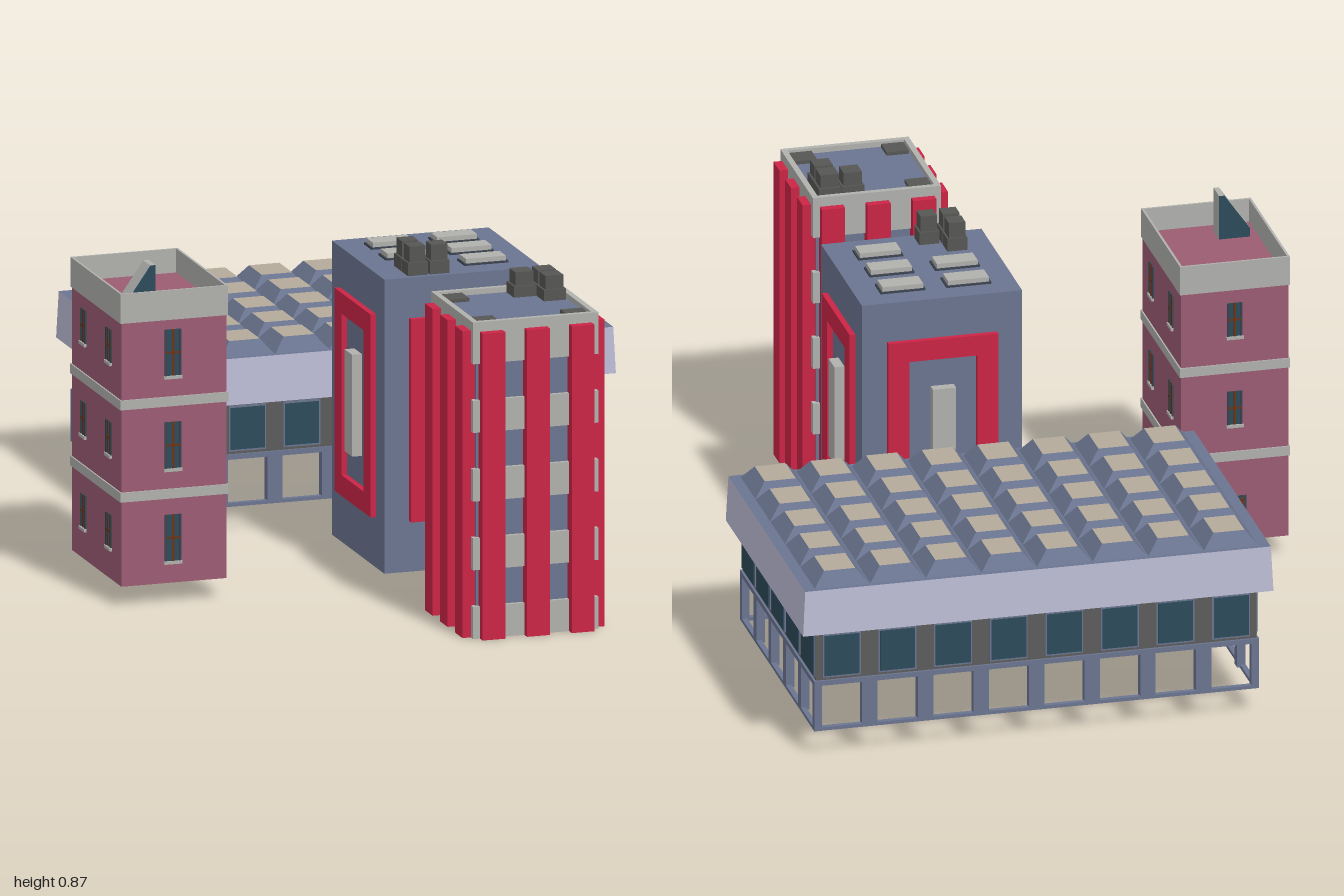
import * as THREE from 'three';

const paint = (color) => new THREE.MeshStandardMaterial({ color });
const M = {
  blue: paint(0x6b7590), red: paint(0xcb2545), grey: paint(0xb0b0ad), dark: paint(0x565654),
  brick: paint(0x9c5c73), glass: paint(0x2c4b5a), fascia: paint(0xbdbdd6), tan: paint(0xb3aa9b),
  wall: paint(0x5c5c5c), wood: paint(0x6b3418), frame: paint(0x3c4450),
};

// box given by its min and max on each axis
function box(parent, name, mat, x0, x1, y0, y1, z0, z1) {
  const m = new THREE.Mesh(new THREE.BoxGeometry(x1 - x0, y1 - y0, z1 - z0), mat);
  m.position.set((x0 + x1) / 2, (y0 + y1) / 2, (z0 + z1) / 2);
  m.name = name;
  parent.add(m);
  return m;
}

function group(parent, name, x = 0, y = 0, z = 0, turn = 0) {
  const g = new THREE.Group();
  g.name = name;
  g.position.set(x, y, z);
  g.rotation.y = turn;
  parent.add(g);
  return g;
}

// vent made of a base and a narrower cap
function vent(parent, x, y, z, w, h) {
  box(parent, 'ventBase', M.dark, x - w, x + w, y, y + h * 0.45, z - w, z + w);
  box(parent, 'ventCap', M.dark, x - w * 0.82, x + w * 0.82, y + h * 0.45, y + h, z - w * 0.82, z + w * 0.82);
}

// window on a wall facing local +z, sill at the bottom
function wallWindow(parent, x, y0, y1, w) {
  const g = group(parent, 'window', x, 0, 0);
  box(g, 'pane', M.glass, -w, w, y0, y1, -0.004, 0.002);
  for (const s of [-1, 1]) box(g, 'jamb', M.frame, s * w - 0.003, s * w + 0.003, y0, y1, -0.004, 0.004);
  box(g, 'mullion', M.wood, -0.003, 0.003, y0, y1, -0.004, 0.004);
  const ym = (y0 + y1) / 2;
  box(g, 'crossbar', M.wood, -w, w, ym - 0.003, ym + 0.003, -0.004, 0.004);
  box(g, 'sill', M.grey, -w - 0.005, w + 0.005, y0 - 0.008, y0, -0.004, 0.007);
}

function door(parent, x) {
  box(parent, 'doorFrame', M.frame, x - 0.03, x + 0.03, 0.053, 0.175, -0.004, 0.003);
  box(parent, 'door', M.wood, x - 0.023, x + 0.023, 0.053, 0.167, -0.004, 0.006);
}

function brickHouse(root) {
  const g = group(root, 'brickHouse', -0.6145, 0, 0.1975);
  const hx = 0.139, hz = 0.1955;
  box(g, 'body', M.brick, -hx, hx, 0.053, 0.75, -hz, hz);
  for (const y of [0.272, 0.511])
    box(g, 'band', M.grey, -hx - 0.004, hx + 0.004, y, y + 0.025, -hz - 0.004, hz + 0.004);
  // thin open parapet
  for (const s of [-1, 1]) {
    box(g, 'parapet', M.grey, -hx - 0.003, hx + 0.003, 0.735, 0.812, s * hz - 0.003, s * hz + 0.003);
    box(g, 'parapet', M.grey, s * hx - 0.003, s * hx + 0.003, 0.735, 0.812, -hz - 0.003, hz + 0.003);
  }
  const front = group(g, 'frontWall', 0, 0, hz);
  const back = group(g, 'backWall', 0, 0, -hz, Math.PI);
  const left = group(g, 'leftWall', hx, 0, 0, Math.PI / 2);
  const right = group(g, 'rightWall', -hx, 0, 0, -Math.PI / 2);
  for (let f = 0; f < 3; f++) {
    const y = 0.11 + f * 0.24;
    wallWindow(front, -0.003, y, y + 0.12, 0.019);
    if (f > 0) wallWindow(back, 0, y + 0.02, y + 0.11, 0.017);
    for (const x of [-0.1, 0.1]) {
      if (f > 0 || x > 0) wallWindow(left, x, y + 0.025, y + 0.11, 0.017);
      wallWindow(right, x, y + 0.025, y + 0.11, 0.017);
    }
  }
  door(back, 0);
  door(left, -0.1);
  // wedge shaped roof access
  const s = new THREE.Shape([[-0.114, 0.75], [-0.034, 0.75], [-0.034, 0.868], [-0.048, 0.868], [-0.114, 0.774]]
    .map(([x, y]) => new THREE.Vector2(x, y)));
  const wedge = new THREE.Mesh(new THREE.ExtrudeGeometry(s, { depth: 0.056, bevelEnabled: false }), [M.glass, M.grey]);
  wedge.position.z = 0.097;
  wedge.name = 'roofAccess';
  g.add(wedge);
}

function panelTower(root) {
  const g = group(root, 'panelTower', 0.146, 0, 0.198);
  const h = 0.2075, yc = 0.427;
  box(g, 'body', M.blue, -h, h, 0.033, 0.795, -h, h);
  for (let i = 0; i < 4; i++) {
    const side = group(g, 'decoratedWall', 0, yc, 0, i * Math.PI / 2);
    // red frame around a raised grey panel
    for (const s of [-1, 1]) {
      box(side, 'redFrame', M.red, s * 0.115 - 0.027, s * 0.115 + 0.027, -0.263, 0.263, h - 0.005, h + 0.015);
      box(side, 'redFrame', M.red, -0.088, 0.088, s * 0.236 - 0.027, s * 0.236 + 0.027, h - 0.005, h + 0.015);
    }
    box(side, 'raisedPanel', M.grey, -0.03, 0.03, -0.132, 0.132, h - 0.005, h + 0.026);
  }
  for (const [x, z] of [[-1, 0], [1, 0], [-1, 1], [1, 1], [1, 2]]) {
    const cx = x * 0.085, cz = -0.117 + z * 0.114;
    box(g, 'skylightCurb', M.frame, cx - 0.058, cx + 0.058, 0.79, 0.8, cz - 0.03, cz + 0.03);
    box(g, 'skylight', M.grey, cx - 0.053, cx + 0.053, 0.79, 0.812, cz - 0.026, cz + 0.026);
  }
  for (const [x, z] of [[-0.114, 0.109], [-0.114, 0.167], [-0.056, 0.167]]) vent(g, x, 0.795, z, 0.026, 0.075);
}

function stripedTower(root) {
  const g = group(root, 'stripedTower', 0.148, 0, 0.81);
  const h = 0.155, b = 0.166, top = 0.795;
  box(g, 'body', M.blue, -h, h, 0.002, 0.806, -h, h);
  for (let i = 0; i < 5; i++)
    box(g, 'floorBand', M.grey, -b, b, i * 0.178, i * 0.178 + 0.083, -b, b);
  for (let i = 0; i < 4; i++) {
    const side = group(g, 'stripedWall', 0, 0, 0, i * Math.PI / 2);
    for (const x of [-0.118, 0, 0.118]) box(side, 'pilaster', M.red, x - 0.03, x + 0.03, 0, top, 0.14, 0.188);
    box(side, 'roofRim', M.grey, -b, b - 0.015, top, 0.82, b - 0.015, b);
  }
  for (const [x, z] of [[-1, -1], [-1, 1], [1, 1]])
    box(g, 'roofHatch', M.dark, x * 0.119 - 0.029, x * 0.119 + 0.029, 0.8, 0.815, z * 0.119 - 0.029, z * 0.119 + 0.029);
  for (const [x, z] of [[0.057, -0.119], [0.117, -0.119], [0.117, -0.06]]) vent(g, x, 0.806, z, 0.029, 0.064);
}

// square tapered block: every top vertex pulled towards the centre
function frustum(w, h, d, tx, tz) {
  const geo = new THREE.BoxGeometry(w, h, d), p = geo.attributes.position;
  for (let i = 0; i < p.count; i++)
    if (p.getY(i) > 0) p.setXYZ(i, p.getX(i) * tx, p.getY(i), p.getZ(i) * tz);
  geo.computeVertexNormals();
  return geo;
}

function hall(root) {
  const g = group(root, 'hall', 0.148, 0, -0.603);
  const W = 0.576, D = 0.378, px = 0.144, pz = 0.151;
  // roof slab with the coffer grid
  const slab = [M.fascia, M.fascia, M.blue, M.frame, M.fascia, M.fascia];
  const f = new THREE.Mesh(frustum(1.218, 0.12, 0.787, 0.99, 0.993), slab);
  f.position.y = 0.395;
  f.name = 'roofSlab';
  g.add(f);
  const coffer = frustum(px, 0.038, pz, 0.56, 0.67);
  for (let i = 0; i < 8; i++) for (let j = 0; j < 5; j++) {
    const m = new THREE.Mesh(coffer, [M.blue, M.blue, M.tan, M.blue, M.blue, M.blue]);
    m.position.set((i - 3.5) * px, 0.472, (j - 2) * pz);
    m.name = 'roofCoffer';
    g.add(m);
  }
  box(g, 'upperFloor', M.wall, -W + 0.006, W - 0.006, 0.2, 0.34, -D + 0.006, D - 0.006);
  box(g, 'floorSlab', M.blue, -W, W, 0.19, 0.203, -D, D);
  // four glazed walls standing on slim columns
  for (let k = 0; k < 4; k++) {
    const long = k % 2 === 0, n = long ? 8 : 5, p = long ? px : pz;
    const half = long ? W : D, out = long ? D : W;
    const pane = long ? 0.045 : 0.06, col = long ? 0.02 : 0.014;
    const side = group(g, 'glazedWall', 0, 0, 0, k * Math.PI / 2);
    for (let i = 0; i < n; i++) {
      const x = (i - (n - 1) / 2) * p;
      box(side, 'windowFrame', M.blue, x - pane - 0.004, x + pane + 0.004, 0.21, 0.328, out - 0.01, out - 0.003);
      box(side, 'windowPane', M.glass, x - pane, x + pane, 0.215, 0.323, out - 0.01, out);
      if (i > 0) box(side, 'column', M.blue, x - p / 2 - col, x - p / 2 + col, 0.07, 0.192, out - 0.022, out);
    }
    box(side, 'cornerColumn', M.blue, half - 0.02, half, 0.07, 0.192, out - 0.02, out);
    box(side, 'baseRail', M.blue, -half, half, 0.068, 0.077, out - 0.014, out);
  }
}

export function createModel() {
  const root = new THREE.Group();
  root.name = 'cityBlock';
  brickHouse(root);
  panelTower(root);
  stripedTower(root);
  hall(root);
  return root;
}
